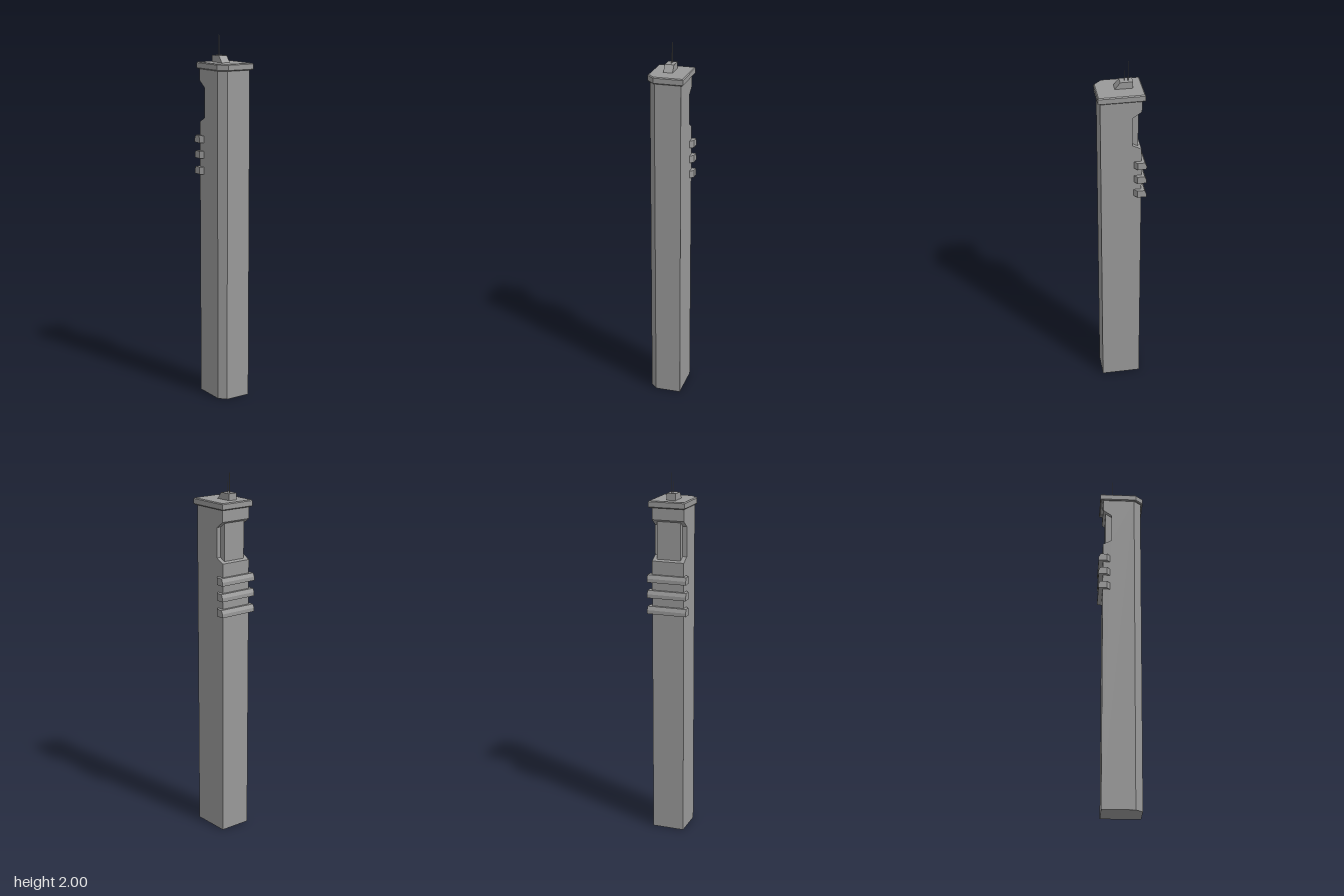
import * as THREE from 'three';

const concrete = new THREE.MeshStandardMaterial({ color: 0x999999 });
concrete.name = 'concrete grey';

const shapeOf = (pts) => new THREE.Shape(pts.map(([a, b]) => new THREE.Vector2(a, b)));

// Plan outline given as [x, z], raised from y0 by height
function plan(pts, y0, height, options = {}) {
  const g = new THREE.ExtrudeGeometry(shapeOf(pts.map(([x, z]) => [x, -z])),
    { depth: height, bevelEnabled: false, ...options });
  return g.rotateX(-Math.PI / 2).translate(0, y0, 0);
}

// Side profile given as [z, y], extruded from x0 to x1
function profile(pts, x0, x1) {
  const g = new THREE.ExtrudeGeometry(shapeOf(pts.map(([z, y]) => [-z, y])),
    { depth: x1 - x0, bevelEnabled: false });
  return g.rotateY(Math.PI / 2).translate(x0, 0, 0);
}

export function createModel() {
  const model = new THREE.Group();
  model.name = 'tower';
  const add = (name, geometry) => {
    const mesh = new THREE.Mesh(geometry, concrete);
    mesh.name = name;
    model.add(mesh);
    return mesh;
  };

  const L = -0.091, R = 0.087, back = -0.103, front = 0.112, seam = 0.073, top = 1.822;

  // Shaft with the notch that wraps the back and both sides
  add('shaft', profile([
    [seam, 0], [back, 0], [back, 1.535], [-0.055, 1.56],
    [-0.055, 1.722], [back, 1.756], [back, top], [seam, top],
  ], L, R));

  // Front of the shaft with its cut corner
  add('shaftFront', plan([[L, seam], [-0.055, front], [R, front], [R, seam]], 0, top));

  // Recessed core inside the notch
  add('recessedCore', plan([
    [L + 0.023, -0.05], [R - 0.023, -0.05], [R - 0.023, -0.088], [L + 0.023, -0.088],
  ], 1.53, 0.24));

  // Wraparound ledges, top back edge bevelled
  [1.25, 1.337, 1.422].forEach((y) => {
    const g = plan([
      [-0.11, -0.127], [-0.11, -0.08], [L, -0.063],
      [R, -0.063], [0.108, -0.08], [0.108, -0.127],
    ], 0, 0.04, { steps: 2 });
    const p = g.attributes.position;
    for (let i = 0; i < p.count; i++) {
      if (p.getY(i) > 0.039 && p.getZ(i) < -0.12) p.setZ(i, -0.118);
    }
    g.computeVertexNormals();
    add('ledge', g.translate(0, y, 0));
  });

  // Roof slab with bevelled rim and the same cut corner
  add('roofSlab', plan([
    [-0.1, -0.119], [-0.1, 0.083], [-0.058, 0.125], [0.101, 0.125], [0.101, -0.119],
  ], 1.825, 0.027, {
    bevelEnabled: true, bevelSegments: 1, bevelThickness: 0.005, bevelSize: 0.005, bevelOffset: -0.005,
  }));

  // Rooftop housing with a sloped front
  add('roofHousing', profile([
    [0.028, 1.855], [-0.068, 1.855], [-0.068, 1.893], [-0.002, 1.893],
  ], -0.033, 0.017));

  // Antennas
  [[-0.046, 2], [-0.026, 1.95]].forEach(([z, tip], i) => {
    const h = tip - 1.89, r = i ? 0.0014 : 0.0025;
    add('antenna', new THREE.CylinderGeometry(r, r, h, 3).toNonIndexed())
      .position.set(-0.004, 1.89 + h / 2, z);
  });

  return model;
}
